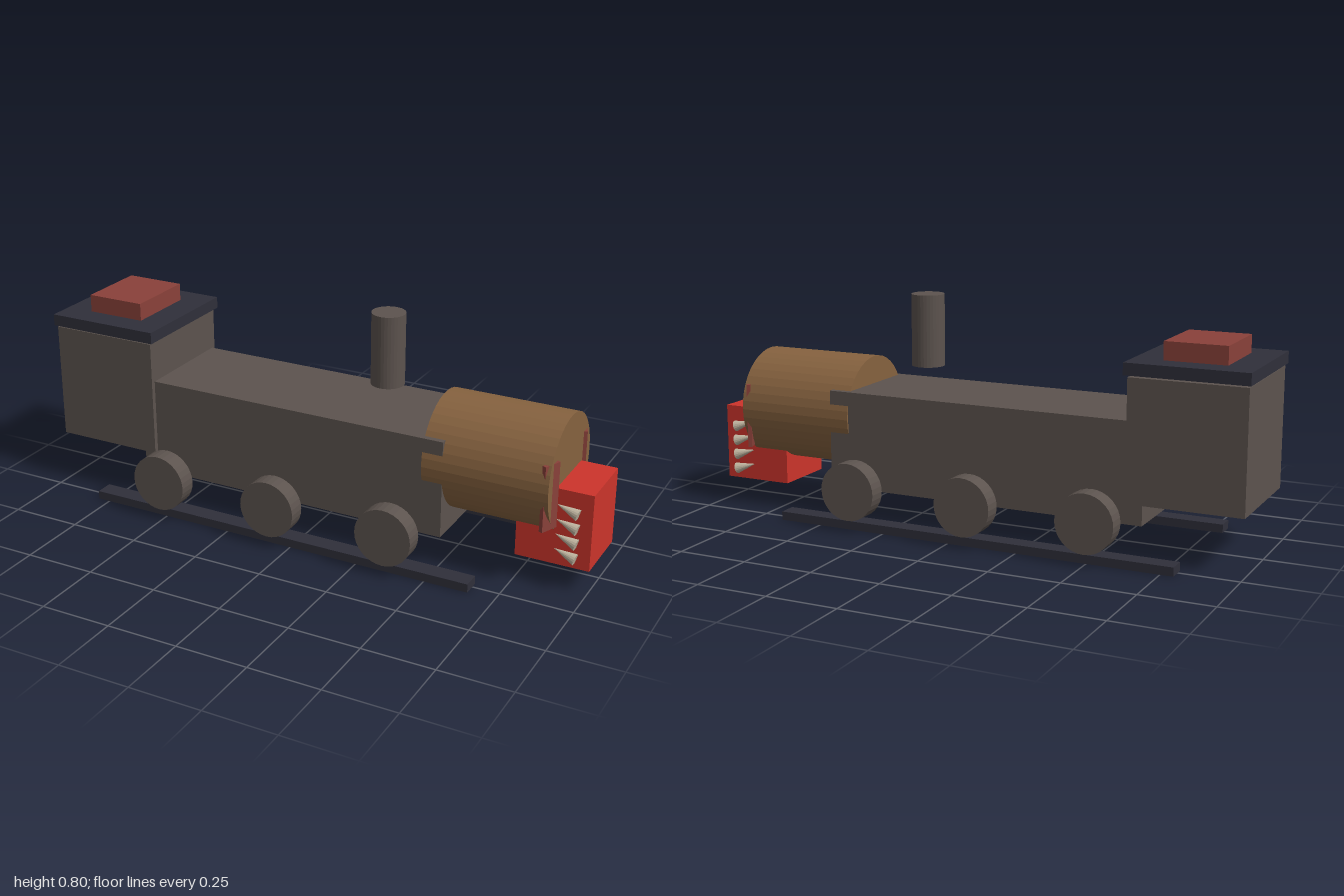
import * as THREE from 'three';

const paint = (name, color, flatShading = false) => {
  const m = new THREE.MeshStandardMaterial({ color });
  m.name = name;
  m.flatShading = flatShading;
  return m;
};

export function createModel() {
  const iron = paint('iron grey', 0x5c534e, true);
  const wood = paint('boiler brown', 0x86623f, true);
  const navy = paint('dark navy', 0x2f2f3a);
  const rust = paint('rust red', 0x8a413a);
  const red = paint('bright red', 0xcc342b);
  const bone = paint('bone', 0xc0b5a0, true);

  const model = new THREE.Group();
  model.name = 'locomotive';

  const add = (name, geometry, material) => {
    const mesh = new THREE.Mesh(geometry, material);
    mesh.name = name;
    model.add(mesh);
    return mesh;
  };
  // Box given by its extents in x and y and its half width in z
  const block = (name, x0, x1, y0, y1, half, material, z = 0) => {
    const mesh = add(name, new THREE.BoxGeometry(x1 - x0, y1 - y0, half * 2), material);
    mesh.position.set((x0 + x1) / 2, (y0 + y1) / 2, z);
    return mesh;
  };

  // Body and cab
  block('body', -0.65, 0.51, 0.117, 0.46, 0.19, iron);
  block('cab', -0.993, -0.597, 0.19, 0.604, 0.207, iron);
  block('cabRoof', -1, -0.585, 0.611, 0.652, 0.217, navy);
  block('roofHatch', -0.9, -0.687, 0.652, 0.714, 0.127, rust);

  // Chimney
  add('chimney', new THREE.CylinderGeometry(0.058, 0.058, 0.252, 32), iron)
    .position.set(0.22, 0.669, 0);

  // Boiler barrel lying along x
  const boiler = add('boiler', new THREE.CylinderGeometry(0.197, 0.197, 0.436, 40), wood);
  boiler.rotation.z = -Math.PI / 2;
  boiler.position.set(0.656, 0.361, 0);

  // Snout block
  block('snout', 0.745, 1, 0.08, 0.35, 0.117, red);

  for (const side of [1, -1]) {
    const label = side > 0 ? 'Front' : 'Back';

    // Runner rail
    block('rail' + label, -0.795, 0.655, 0, 0.03, 0.032, navy, side * 0.26);

    // Wheels
    for (const x of [-0.505, -0.07, 0.365]) {
      const wheel = add('wheel' + label, new THREE.CylinderGeometry(0.101, 0.101, 0.064, 32), iron);
      wheel.rotation.x = Math.PI / 2;
      wheel.position.set(x, 0.143, side * 0.298);
    }

    // Cheek plate, turned so its inner edge stands ahead of the boiler end
    const cheek = add('cheek' + label, new THREE.BoxGeometry(0.014, 0.23, 0.066), rust);
    cheek.position.set(0.866, 0.335, side * 0.158);
    cheek.rotation.y = -side * 0.4;

    // Teeth: cones pointing backwards along the snout
    for (let i = 0; i < 4; i++) {
      const y = 0.277 - i * 0.053;
      const tip = new THREE.Vector3(0.88, y + 0.022, side * 0.124);
      const base = new THREE.Vector3(0.955, y, side * 0.129);
      const axis = tip.clone().sub(base);
      const tooth = add('tooth' + label, new THREE.ConeGeometry(0.02, axis.length(), 16), bone);
      tooth.position.copy(tip).add(base).multiplyScalar(0.5);
      tooth.quaternion.setFromUnitVectors(new THREE.Vector3(0, 1, 0), axis.normalize());
    }
  }
  return model;
}
